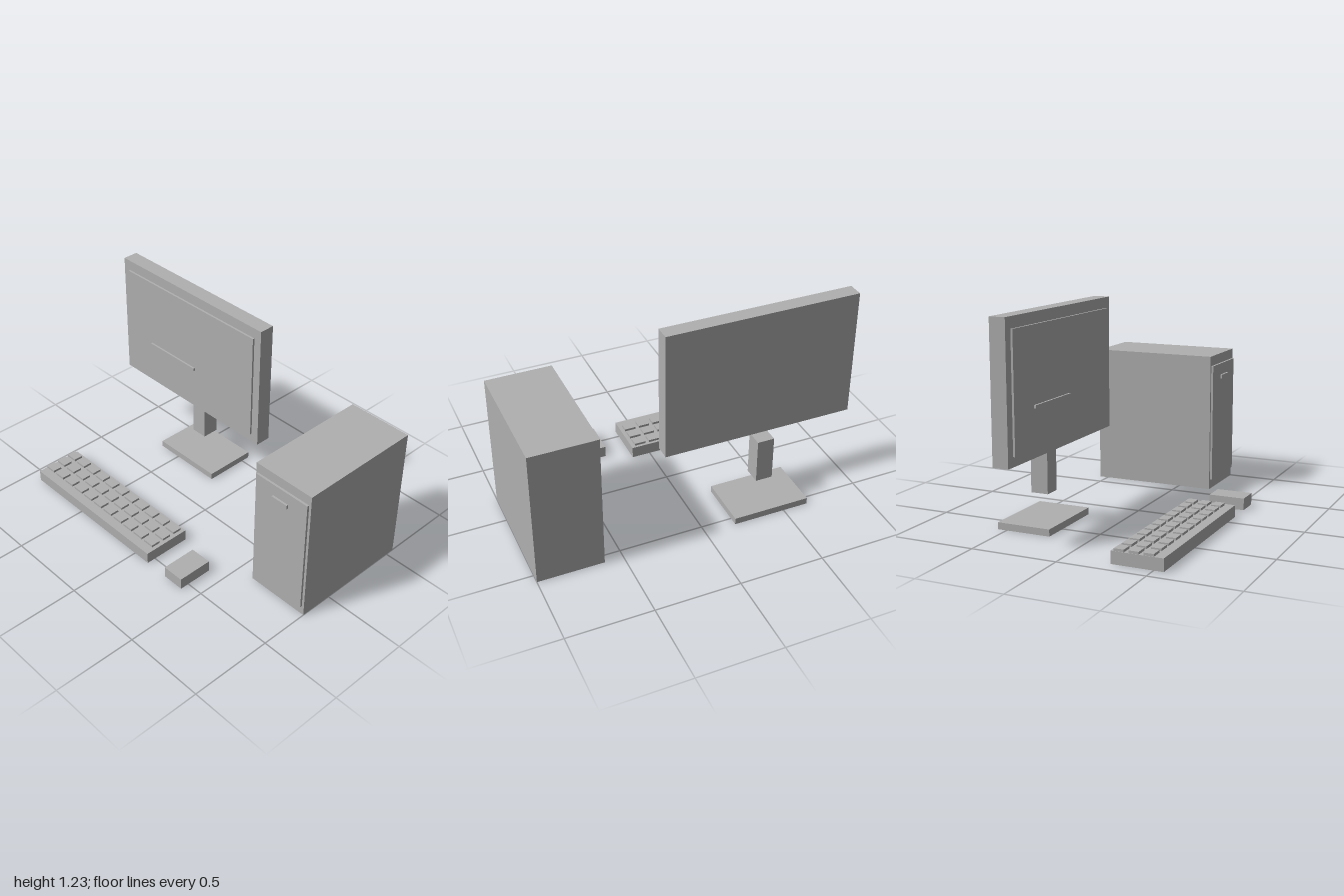
import * as THREE from 'three';

const grey = new THREE.MeshStandardMaterial({ color: 0xb0b0b0 });
grey.name = 'plain grey';

// Box given by its extents along each axis
function box(name, [x0, x1], [y0, y1], [z0, z1]) {
  const mesh = new THREE.Mesh(new THREE.BoxGeometry(x1 - x0, y1 - y0, z1 - z0), grey);
  mesh.position.set((x0 + x1) / 2, (y0 + y1) / 2, (z0 + z1) / 2);
  mesh.name = name;
  return mesh;
}

function group(name, ...parts) {
  const g = new THREE.Group();
  g.name = name;
  g.add(...parts);
  return g;
}

export function createModel() {
  // Monitor with raised screen, a bar on the screen and a separate stand
  const monitor = group('monitor',
    box('monitorCase', [-1, 0.162], [0.45, 1.225], [-0.36, -0.267]),
    box('screen', [-0.95, 0.113], [0.505, 1.162], [-0.267, -0.255]),
    box('screenBar', [-0.75, -0.362], [0.722, 0.74], [-0.255, -0.244]),
    box('standNeck', [-0.47, -0.368], [0.178, 0.45], [-0.445, -0.34]),
    box('standBase', [-0.652, -0.187], [0, 0.04], [-0.555, -0.232]));

  // Computer tower with front panel and drive button
  const tower = group('tower',
    box('towerCase', [0.61, 1], [0, 0.836], [-0.555, 0.204]),
    box('frontPanel', [0.623, 0.985], [0.06, 0.776], [0.204, 0.217]),
    box('driveButton', [0.748, 0.855], [0.682, 0.706], [0.217, 0.229]));

  // Keyboard with three rows of eleven keys
  const keyboard = group('keyboard',
    box('keyboardCase', [-0.913, 0.113], [0, 0.07], [0.263, 0.555]));
  for (let row = 0; row < 3; row++) {
    for (let col = 0; col < 11; col++) {
      const x = -0.91 + col * 0.093;
      const z = 0.28 + row * 0.082;
      keyboard.add(box('key', [x, x + 0.07], [0.07, 0.084], [z, z + 0.056]));
    }
  }

  const mouse = box('mouse', [0.262, 0.397], [0, 0.07], [0.342, 0.555]);

  return group('desktopComputer', monitor, tower, keyboard, mouse);
}
